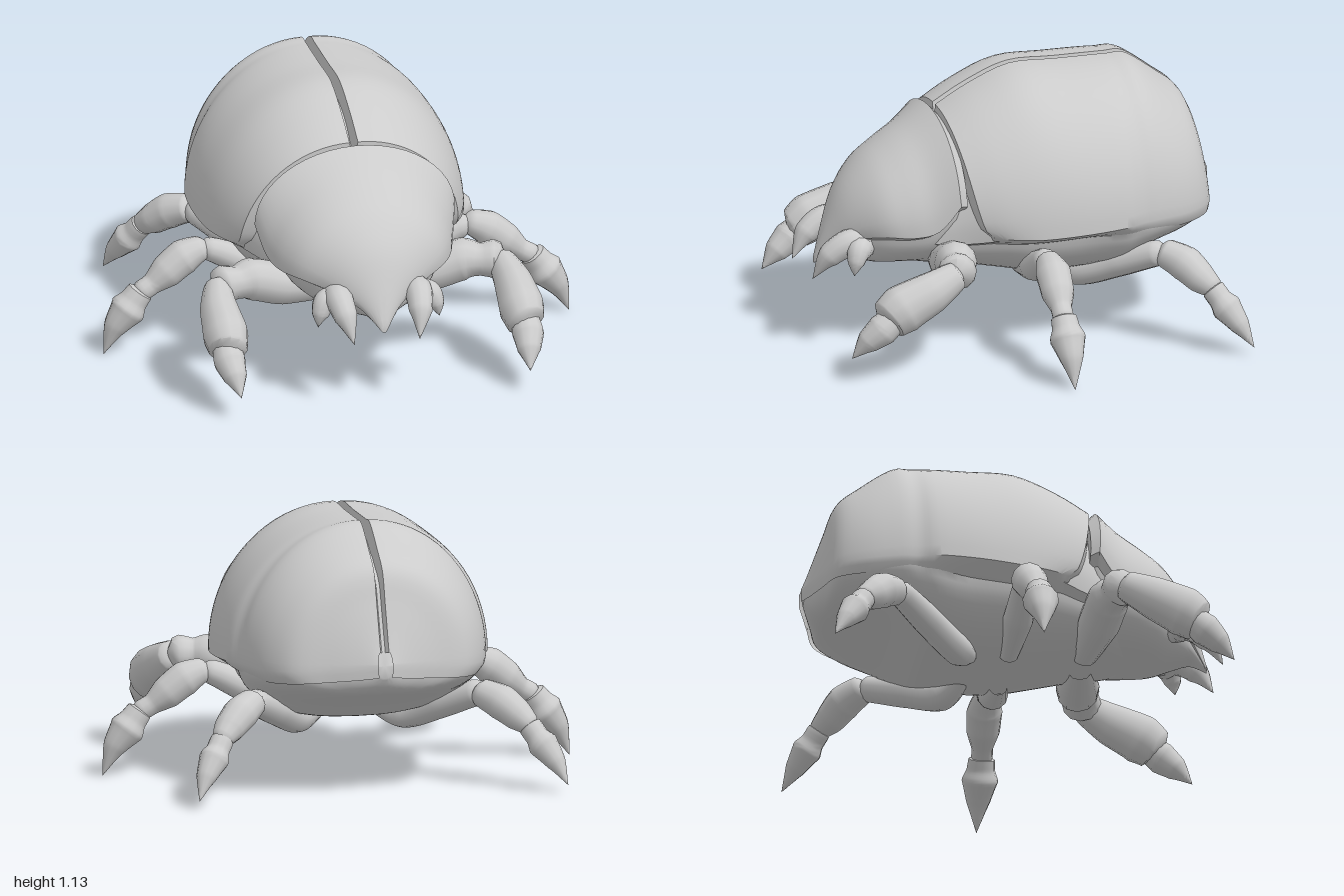
import * as THREE from 'three';
import { toCreasedNormals } from 'three/addons/utils/BufferGeometryUtils.js';

const mat = new THREE.MeshStandardMaterial({ color: 0xcccccc });
const openMat = new THREE.MeshStandardMaterial({ color: 0xcccccc, side: THREE.DoubleSide });

// Cross-sections, front to back: [zTop, zRim, halfWidth, yRim, yTop, yBottom]
const SHELL = [
  [0.30, 0.18, 0.47, 0.52, 0.98, 0.31],
  [0.16, 0.10, 0.515, 0.52, 1.06, 0.29],
  [-0.02, -0.02, 0.552, 0.52, 1.13, 0.27],
  [-0.22, -0.20, 0.57, 0.53, 1.13, 0.26],
  [-0.38, -0.37, 0.56, 0.54, 1.13, 0.28],
  [-0.45, -0.45, 0.53, 0.545, 1.13, 0.31],
  [-0.53, -0.53, 0.515, 0.55, 1.125, 0.35],
  [-0.66, -0.67, 0.465, 0.55, 1.035, 0.40],
  [-0.75, -0.78, 0.375, 0.56, 0.96, 0.44],
  [-0.795, -0.825, 0.23, 0.57, 0.84, 0.46],
  [-0.83, -0.86, 0.11, 0.58, 0.74, 0.49],
  [-0.865, -0.885, 0.03, 0.59, 0.64, 0.53],
];
const PRONOTUM = [
  [0.825, 0.825, 0.012, 0.34, 0.365, 0.333],
  [0.78, 0.76, 0.085, 0.42, 0.50, 0.37],
  [0.715, 0.69, 0.19, 0.48, 0.65, 0.36],
  [0.62, 0.60, 0.305, 0.515, 0.765, 0.34],
  [0.52, 0.50, 0.365, 0.52, 0.84, 0.34],
  [0.42, 0.40, 0.40, 0.55, 0.905, 0.34],
  [0.325, 0.315, 0.43, 0.66, 0.975, 0.36],
];

// Smooth in-between sections
function refine(rows, n = 4) {
  const out = [];
  const at = (i) => rows[Math.min(Math.max(i, 0), rows.length - 1)];
  for (let i = 0; i < rows.length - 1; i++)
    for (let k = 0; k < n; k++) {
      const t = k / n;
      out.push(rows[i].map((b, c) => {
        const a = at(i - 1)[c], d = at(i + 1)[c], e = at(i + 2)[c];
        return b + 0.5 * t * (d - a + t * (2 * a - 5 * b + 4 * d - e + t * (3 * (b - d) + e - a)));
      }));
    }
  out.push(rows[rows.length - 1]);
  return out;
}

// Skin a list of rings; closed rings also get end caps
function loft(rings, closed, crease) {
  const n = rings[0].length, pos = rings.flat(2), idx = [];
  const last = (rings.length - 1) * n;
  for (let i = 0; i < rings.length - 1; i++)
    for (let j = 0; j < (closed ? n : n - 1); j++) {
      const a = i * n + j, b = i * n + (j + 1) % n;
      idx.push(a, a + n, b, b, a + n, b + n);
    }
  if (closed) {
    const c = rings.length * n;
    for (const ring of [rings[0], rings[rings.length - 1]])
      for (let k = 0; k < 3; k++) pos.push(ring.reduce((s, p) => s + p[k], 0) / n);
    for (let j = 0; j < n; j++) {
      const k = (j + 1) % n;
      idx.push(c, j, k, c + 1, last + k, last + j);
    }
  }
  const g = new THREE.BufferGeometry();
  g.setAttribute('position', new THREE.Float32BufferAttribute(pos, 3));
  g.setIndex(idx);
  return toCreasedNormals(g, crease);
}

// Point on the dome of a section; front sections bow forward between rim and top
function dome([zT, zR, w, yR, yT], a) {
  const s = Math.max(Math.sin(a), 0);
  return [w * Math.cos(a), yR + (yT - yR) * s, zR + (zT - zR) * s ** (zT > 0 ? 0.45 : 1)];
}

// Closed section: domed above the rim, tucked in and flatter below it
function bodyRing(row, tuck) {
  const [, zR, w, yR, , yB] = row;
  return Array.from({ length: 48 }, (_, j) => {
    const a = (j / 48) * Math.PI * 2, s = Math.sin(a), c = Math.cos(a);
    if (s >= -1e-6) return dome(row, a);
    return [w * tuck * Math.sign(c) * Math.abs(c) ** 0.8, yR + (yR - yB) * s, zR];
  });
}

// How far a section has blended into the rear, where the rim flange fades out
const rearness = (z) => THREE.MathUtils.smoothstep(-z, 0.2, 0.5);

// Wing-case section: rim flange, quarter dome, wall down into the seam
function wingRing(row) {
  const [zT, zR, w, yR, yT] = row, k = rearness(zR);
  const pts = [
    [w * (0.78 + 0.16 * k), yR - 0.055, zR],
    [w * (0.92 + 0.07 * k), yR - 0.025, zR],
  ];
  for (let j = 0; j <= 20; j++) {
    const p = dome(row, (j / 20) * Math.PI / 2);
    pts.push([0.018 + p[0] * (1 - 0.018 / w), p[1], p[2]]);
  }
  pts.push([0.003, yT - 0.15 * (yT - yR), zT + (zT < -0.6 ? 0.03 : 0)]);
  return pts;
}

// Tapered limb through [x, y, z, radius] stations, side = 1 or -1
function limb(name, stations, side, flat = 1) {
  const curve = new THREE.CatmullRomCurve3(
    stations.map(([x, y, z]) => new THREE.Vector3(x * side, y, z)), false, 'centripetal');
  const rows = 32, cols = 12, g = new THREE.TubeGeometry(curve, rows, 1, cols);
  const p = g.attributes.position, v = new THREE.Vector3();
  for (let i = 0; i <= rows; i++) {
    const c = curve.getPointAt(i / rows);
    const t = curve.getUtoTmapping(i / rows) * (stations.length - 1);
    const k = Math.min(Math.floor(t), stations.length - 2);
    const r = THREE.MathUtils.lerp(stations[k][3], stations[k + 1][3], t - k);
    for (let j = 0; j <= cols; j++) {
      const q = i * (cols + 1) + j;
      v.fromBufferAttribute(p, q).sub(c).multiplyScalar(r);
      p.setXYZ(q, c.x + v.x * flat, c.y + v.y, c.z + v.z);
    }
  }
  const mesh = new THREE.Mesh(toCreasedNormals(g, 0.9), mat);
  mesh.name = name;
  return mesh;
}

const LEGS = {
  frontLeg: {
    hip: [[0.06, 0.36, 0.30, 0.06], [0.32, 0.39, 0.33, 0.09], [0.46, 0.43, 0.35, 0.09], [0.52, 0.43, 0.37, 0.068], [0.59, 0.43, 0.385, 0.085], [0.63, 0.42, 0.40, 0]],
    thigh: [[0.61, 0.44, 0.37, 0], [0.61, 0.43, 0.39, 0.06], [0.63, 0.37, 0.51, 0.09], [0.635, 0.31, 0.64, 0.107], [0.64, 0.27, 0.70, 0.09], [0.65, 0.25, 0.73, 0]],
    claw: [[0.64, 0.27, 0.68, 0.06], [0.64, 0.23, 0.73, 0.068], [0.63, 0.18, 0.79, 0.05], [0.62, 0.11, 0.855, 0]],
  },
  middleLeg: {
    hip: [[0.15, 0.29, -0.03, 0.04], [0.38, 0.355, -0.02, 0.065], [0.55, 0.43, -0.015, 0.05], [0.60, 0.43, -0.01, 0]],
    thigh: [[0.54, 0.45, -0.015, 0], [0.57, 0.44, -0.015, 0.05], [0.65, 0.405, -0.015, 0.075], [0.73, 0.345, -0.01, 0.07], [0.79, 0.30, -0.005, 0.045], [0.84, 0.27, 0, 0.045], [0.86, 0.25, 0, 0]],
    claw: [[0.83, 0.29, 0, 0], [0.84, 0.275, 0, 0.055], [0.87, 0.235, 0, 0.06], [0.895, 0.20, 0, 0.078], [0.95, 0.125, 0, 0.05], [1.0, 0.005, 0, 0]],
  },
  hindLeg: {
    hip: [[0.10, 0.30, -0.18, 0.03], [0.22, 0.265, -0.25, 0.065], [0.36, 0.33, -0.40, 0.065], [0.48, 0.39, -0.53, 0.055], [0.52, 0.40, -0.57, 0]],
    thigh: [[0.47, 0.41, -0.52, 0], [0.49, 0.395, -0.55, 0.06], [0.56, 0.36, -0.62, 0.075], [0.62, 0.31, -0.67, 0.065], [0.66, 0.275, -0.71, 0.045], [0.69, 0.25, -0.73, 0]],
    claw: [[0.65, 0.285, -0.70, 0], [0.66, 0.27, -0.71, 0.05], [0.685, 0.23, -0.735, 0.05], [0.705, 0.20, -0.755, 0.065], [0.75, 0.13, -0.80, 0.042], [0.79, 0.04, -0.85, 0]],
  },
};

export function createModel() {
  const model = new THREE.Group();
  model.name = 'beetle';
  const add = (name, geo, m = mat) => {
    const mesh = new THREE.Mesh(geo, m);
    mesh.name = name;
    model.add(mesh);
    return mesh;
  };

  // Belly and inner body, showing below the rims and inside the seam
  const inner = SHELL.map(([zT, zR, w, yR, yT, yB]) =>
    [zT * 0.975, zR * 0.985, w * (0.94 + 0.04 * rearness(zR)), yR - 0.01, yT - 0.12 * (yT - yR), yB]);
  const core = [[0.56, 0.56, 0.18, 0.45, 0.56, 0.36], [0.42, 0.42, 0.31, 0.47, 0.72, 0.33],
    [0.31, 0.27, 0.39, 0.48, 0.87, 0.32], ...inner.slice(1)];
  add('body', loft(refine(core).map((r) => bodyRing(r, 0.88 + 0.12 * rearness(r[1]))), true, 0.7));

  // Neck shield tapering into the beak, with a bevelled back edge
  const shield = [...refine(PRONOTUM), [0.285, 0.28, 0.405, 0.65, 0.935, 0.38]];
  add('pronotum', loft(shield.map((r) => bodyRing(r, 0.86)), true, 0.6));

  // Pair of wing cases with a front lip
  const rows = refine(SHELL);
  rows.unshift([0.30, 0.20, 0.40, 0.52, 0.90, 0.31]);
  const wing = loft(rows.map(wingRing), false, 0.6);
  add('leftWingCase', wing, openMat);
  add('rightWingCase', wing, openMat).scale.x = -1;

  for (const side of [1, -1]) {
    const tag = side > 0 ? 'left' : 'right';
    // Legs
    for (const [leg, parts] of Object.entries(LEGS)) {
      const group = new THREE.Group();
      group.name = `${tag} ${leg}`;
      for (const [part, stations] of Object.entries(parts))
        group.add(limb(part, stations, side, leg === 'frontLeg' && part === 'thigh' ? 0.9 : 1));
      model.add(group);
    }
    // Jaws: a hooked main fang and a short outer feeler
    model.add(limb(`${tag} fang`, [[0.16, 0.46, 0.60, 0], [0.165, 0.455, 0.65, 0.065],
      [0.17, 0.46, 0.73, 0.06], [0.16, 0.41, 0.81, 0.05], [0.14, 0.31, 0.875, 0]], side));
    model.add(limb(`${tag} feeler`, [[0.15, 0.44, 0.64, 0], [0.18, 0.445, 0.67, 0.055],
      [0.225, 0.44, 0.70, 0.052], [0.25, 0.395, 0.72, 0.035], [0.26, 0.345, 0.73, 0]], side));
  }
  return model;
}
